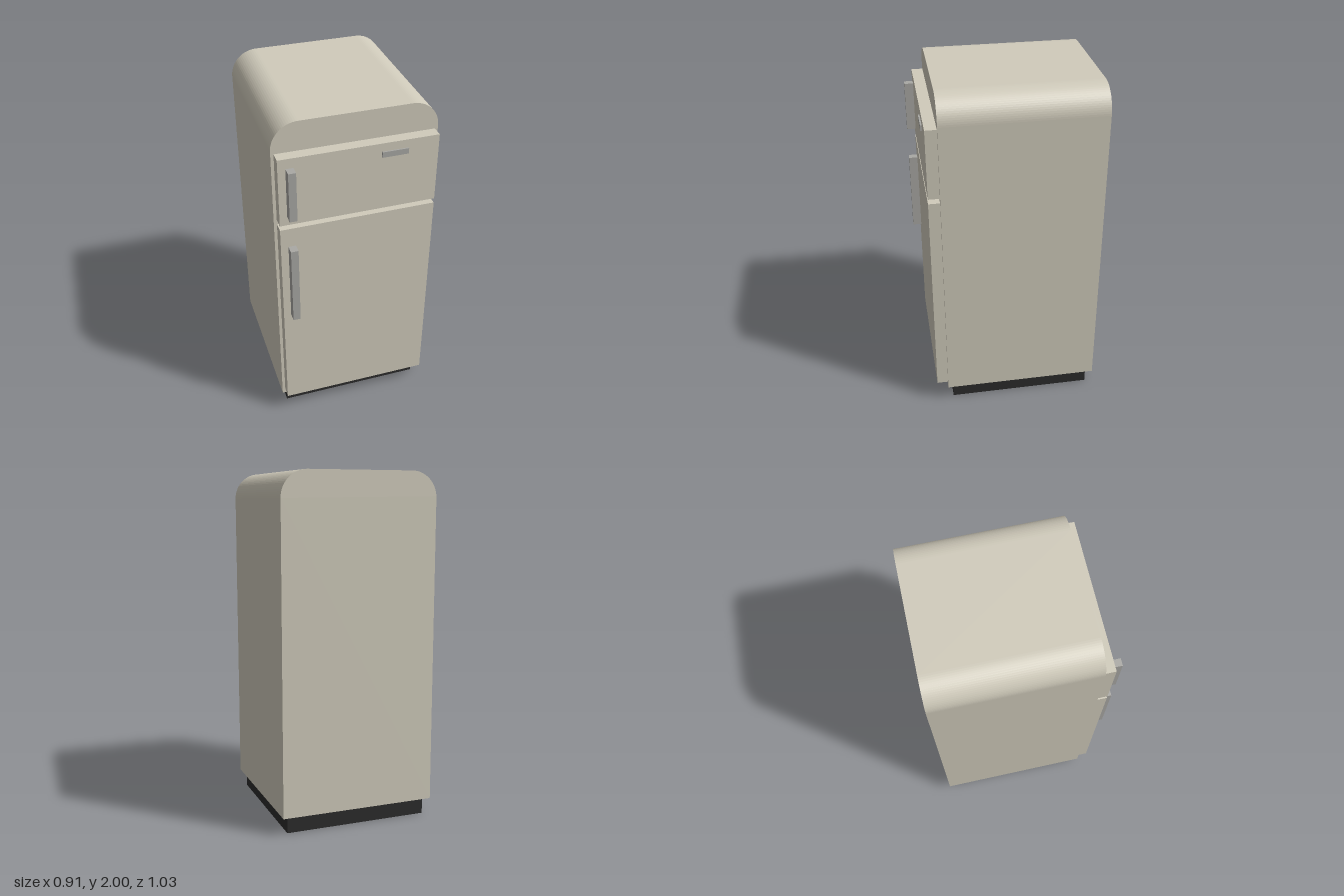
import * as THREE from 'three';

const enamel = new THREE.MeshStandardMaterial({ color: 0xd0cbbb, flatShading: true });
const metal = new THREE.MeshStandardMaterial({ color: 0xa9a8a4, flatShading: true });
const rubber = new THREE.MeshStandardMaterial({ color: 0x2c2c2c, flatShading: true });

// Box given by its extents along each axis
function box(name, material, [x0, x1], [y0, y1], [z0, z1]) {
  const mesh = new THREE.Mesh(new THREE.BoxGeometry(x1 - x0, y1 - y0, z1 - z0), material);
  mesh.position.set((x0 + x1) / 2, (y0 + y1) / 2, (z0 + z1) / 2);
  mesh.name = name;
  return mesh;
}

// Cabinet: front outline with two rounded top corners, extruded front to back
function cabinet() {
  const w = 0.455, bottom = 0.1, top = 2, r = 0.15, back = -0.513, front = 0.397;
  const shape = new THREE.Shape();
  shape.moveTo(-w, bottom);
  shape.lineTo(w, bottom);
  shape.lineTo(w, top - r);
  shape.absarc(w - r, top - r, r, 0, Math.PI / 2, false);
  shape.lineTo(-w + r, top);
  shape.absarc(-w + r, top - r, r, Math.PI / 2, Math.PI, false);
  shape.closePath();
  const geometry = new THREE.ExtrudeGeometry(shape, {
    depth: front - back, bevelEnabled: false, curveSegments: 10,
  });
  geometry.translate(0, 0, back);
  const mesh = new THREE.Mesh(geometry, enamel);
  mesh.name = 'cabinet';
  return mesh;
}

export function createModel() {
  const model = new THREE.Group();
  model.name = 'refrigerator';
  model.add(cabinet());
  model.add(box('plinth', rubber, [-0.422, 0.422], [0, 0.1], [-0.478, 0.364]));

  // Doors, each with an upright handle on the same side
  const doors = [
    { name: 'fridge', door: [0.132, 1.402], handle: [0.8, 1.286] },
    { name: 'freezer', door: [1.43, 1.832], handle: [1.482, 1.775] },
  ];
  for (const { name, door, handle } of doors) {
    model.add(box(name + 'Door', enamel, [-0.438, 0.438], door, [0.397, 0.462]));
    model.add(box(name + 'Handle', metal, [-0.396, -0.354], handle, [0.462, 0.513]));
  }

  // Plain trim plate on the freezer door
  model.add(box('trimPlate', metal, [0.12, 0.266], [1.752, 1.784], [0.462, 0.471]));
  return model;
}
